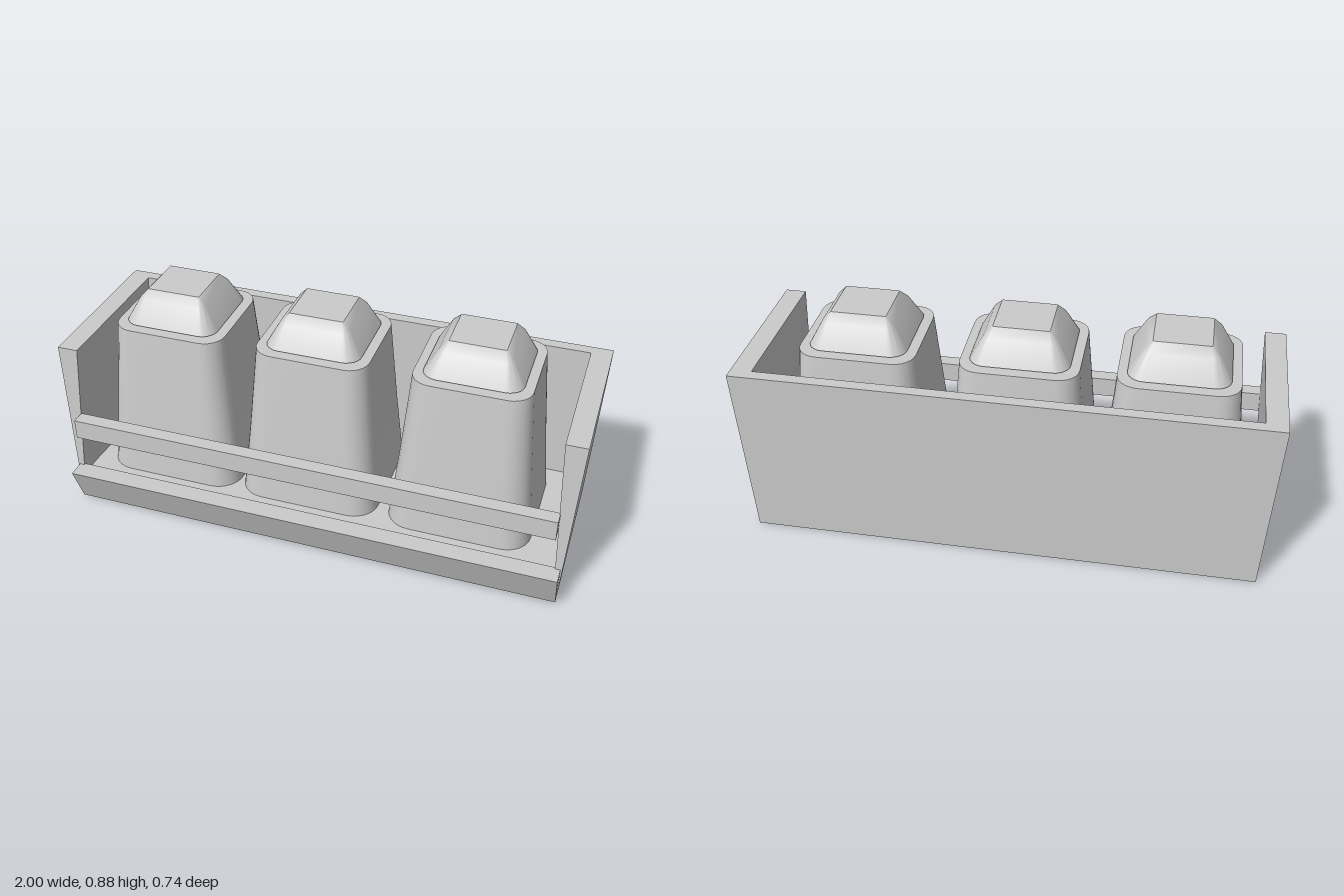
import * as THREE from 'three';
import { toCreasedNormals } from 'three/addons/utils/BufferGeometryUtils.js';

const grey = new THREE.MeshStandardMaterial({ color: 0xcccccc, side: THREE.DoubleSide });

function addMesh(parent, name, geometry) {
  const mesh = new THREE.Mesh(geometry, grey);
  mesh.name = name;
  parent.add(mesh);
  return mesh;
}

// Six-sided block whose corners are placed by a rule of the corner signs
function block(rule) {
  const geo = new THREE.BoxGeometry(2, 2, 2).toNonIndexed();
  const p = geo.attributes.position;
  for (let i = 0; i < p.count; i++) p.setXYZ(i, ...rule(p.getX(i), p.getY(i), p.getZ(i)));
  geo.computeVertexNormals();
  return geo;
}

// Stack of rounded rectangles [y, halfX, halfZ, cornerRadius], closed at both ends
function roundedLoft(rings) {
  const steps = 6, n = 4 * (steps + 1), pos = [], index = [];
  for (const [y, hx, hz, r] of rings) {
    for (let c = 0; c < 4; c++) {
      const cx = (c === 0 || c === 3 ? 1 : -1) * (hx - r);
      const cz = (c < 2 ? 1 : -1) * (hz - r);
      for (let k = 0; k <= steps; k++) {
        const a = (c + k / steps) * Math.PI / 2;
        pos.push(cx + r * Math.cos(a), y, cz + r * Math.sin(a));
      }
    }
  }
  for (let j = 0; j < rings.length - 1; j++) {
    for (let i = 0; i < n; i++) {
      const a = j * n + i, b = j * n + (i + 1) % n;
      index.push(a, a + n, b, b, a + n, b + n);
    }
  }
  const last = (rings.length - 1) * n, low = pos.length / 3;
  pos.push(0, rings[0][0], 0, 0, rings[rings.length - 1][0], 0);
  for (let i = 0; i < n; i++) {
    const next = (i + 1) % n;
    index.push(low, i, next, low + 1, last + next, last + i);
  }
  const geo = new THREE.BufferGeometry();
  geo.setAttribute('position', new THREE.Float32BufferAttribute(pos, 3));
  geo.setIndex(index);
  return toCreasedNormals(geo, 0.7);
}

export function createModel() {
  const model = new THREE.Group();
  model.name = 'bottleRack';

  // Tray: floor, back wall and side walls that flare slightly towards the top
  const tray = new THREE.Group();
  tray.name = 'tray';
  model.add(tray);
  addMesh(tray, 'floor', block((x, y, z) =>
    [x * 0.97, y > 0 ? 0.12 : z > 0 ? 0.01 : 0, z > 0 ? 0.305 : -0.36]));
  addMesh(tray, 'backWall', block((x, y, z) =>
    [x * (y > 0 ? 1 : 0.97), y > 0 ? 0.7 : 0, z > 0 ? -0.325 : y > 0 ? -0.37 : -0.36]));
  for (const side of [1, -1]) {
    addMesh(tray, side > 0 ? 'leftWall' : 'rightWall', block((x, y, z) => {
      const outer = x * side > 0;
      const inner = y < 0 && z > 0 ? 0.96 : 0.92;
      return [
        side * (outer ? (y > 0 ? 1 : 0.97) : inner),
        y > 0 ? 0.7 : z > 0 ? 0.01 : 0,
        z > 0 ? (y > 0 ? 0.28 : 0.31) : (y > 0 ? -0.37 : -0.36),
      ];
    }));
  }

  // Front lip leaning outward, and the slope behind it down to the floor
  addMesh(tray, 'frontLip', block((x, y, z) =>
    [x * 0.97, y > 0 ? 0.165 : 0.01, z > 0 ? (y > 0 ? 0.37 : 0.31) : 0.295]));
  addMesh(tray, 'lipSlope', block((x, y, z) =>
    [x * 0.95, y < 0 ? 0.06 : z > 0 ? 0.165 : 0.12, z > 0 ? 0.3 : 0.25]));

  // Retaining rail
  const rail = addMesh(model, 'frontRail', new THREE.BoxGeometry(1.88, 0.08, 0.055));
  rail.position.set(0, 0.37, 0.3125);

  // Three tapered square bottles with floating faceted caps
  const body = roundedLoft([
    [0.12, 0.277, 0.268, 0.1],
    [0.4, 0.249, 0.243, 0.09],
    [0.7, 0.223, 0.218, 0.08],
    [0.75, 0.219, 0.213, 0.078],
  ]);
  const cap = roundedLoft([
    [0.757, 0.184, 0.179, 0.06],
    [0.845, 0.135, 0.13, 0.025],
    [0.878, 0.104, 0.098, 0.004],
  ]);
  for (const x of [-0.615, -0.045, 0.555]) {
    const bottle = new THREE.Group();
    bottle.name = 'bottle';
    bottle.position.set(x, 0, -0.054);
    addMesh(bottle, 'bottleBody', body);
    addMesh(bottle, 'bottleCap', cap);
    model.add(bottle);
  }
  return model;
}
